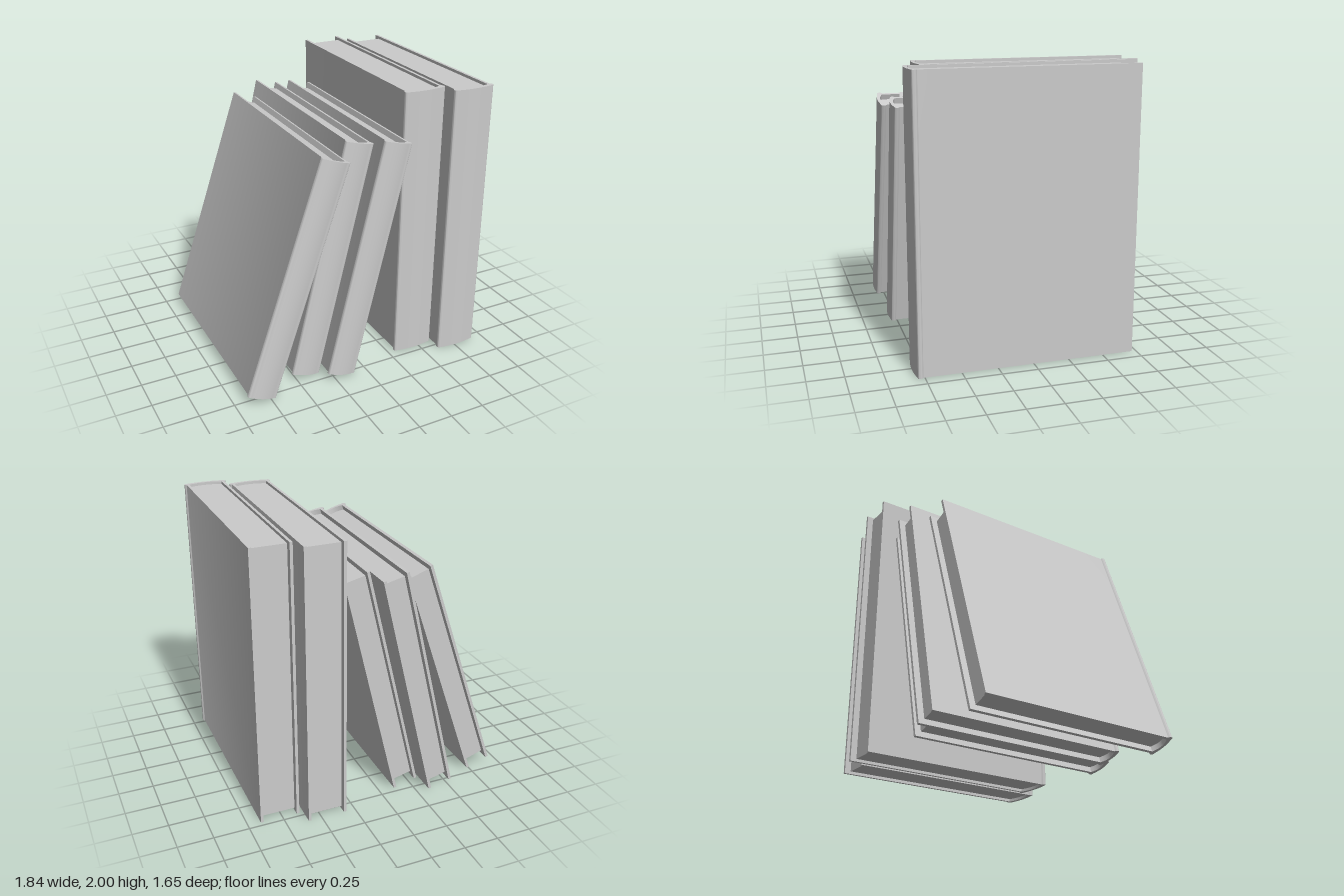
import * as THREE from 'three';
import { toCreasedNormals } from 'three/addons/utils/BufferGeometryUtils.js';

const material = new THREE.MeshStandardMaterial({ color: 0xcccccc, side: THREE.DoubleSide });
const DEPTH = 1.53; // spine to fore edge
const BOARD = 0.02; // cover thickness

// Extrudes a plan outline (x, z) upwards from y = bottom
function extrudeUp(name, shape, bottom, height) {
  let geometry = new THREE.ExtrudeGeometry(shape, { depth: height, bevelEnabled: false, curveSegments: 10 });
  geometry.rotateX(Math.PI / 2);
  geometry.translate(0, bottom + height, 0);
  geometry = toCreasedNormals(geometry, 0.6);
  const mesh = new THREE.Mesh(geometry, material);
  mesh.name = name;
  return mesh;
}

// One book, standing on its bottom edge; spine faces +z and ends at z = 0
function makeBook(name, width, height, recess) {
  const w = width / 2;
  const outer = w - 0.013;
  const inner = outer - BOARD;

  // Cover: two boards, rounded hinge ridges and a bowed spine in one outline
  const cover = new THREE.Shape();
  cover.moveTo(outer, -DEPTH);
  cover.lineTo(outer, -0.055);
  cover.bezierCurveTo(outer, -0.046, w, -0.048, w, -0.033);
  cover.bezierCurveTo(w, -0.018, w - 0.008, -0.012, outer - 0.006, -0.014);
  cover.quadraticCurveTo(0, 0.014, -outer + 0.006, -0.014);
  cover.bezierCurveTo(-w + 0.008, -0.012, -w, -0.018, -w, -0.033);
  cover.bezierCurveTo(-w, -0.048, -outer, -0.046, -outer, -0.055);
  cover.lineTo(-outer, -DEPTH);
  cover.lineTo(-inner, -DEPTH);
  cover.lineTo(-inner, -0.045);
  cover.quadraticCurveTo(0, 0.001, inner, -0.045);
  cover.lineTo(inner, -DEPTH);
  cover.closePath();

  // Page block: fills the cover, set back from its three open edges
  const back = -DEPTH + 0.045;
  const pages = new THREE.Shape();
  pages.moveTo(-inner, back);
  pages.lineTo(inner, back);
  pages.lineTo(inner, -0.045);
  pages.quadraticCurveTo(0, 0.001, -inner, -0.045);
  pages.closePath();

  const book = new THREE.Group();
  book.name = name;
  book.add(
    extrudeUp('cover', cover, 0, height),
    extrudeUp('pages', pages, recess, height - 2 * recess)
  );
  return book;
}

export function createModel() {
  const group = new THREE.Group();
  group.name = 'rowOfBooks';

  // x, y of the bottom centre, z of the spine, lean in degrees
  const books = [
    { name: 'leaningBookOuter', x: -0.818, y: 0.04, z: 0.825, lean: 18.7, width: 0.215, height: 1.722, recess: 0.04 },
    { name: 'leaningBookMiddle', x: -0.428, y: 0.03, z: 0.7, lean: 13.4, width: 0.212, height: 1.727, recess: 0.04 },
    { name: 'leaningBookInner', x: -0.2, y: 0.03, z: 0.81, lean: 13.4, width: 0.212, height: 1.727, recess: 0.04 },
    { name: 'uprightBookInner', x: 0.456, y: 0, z: 0.7, lean: 0, width: 0.308, height: 2, recess: 0.02 },
    { name: 'uprightBookOuter', x: 0.767, y: 0, z: 0.81, lean: 0, width: 0.308, height: 2, recess: 0.02 },
  ];
  for (const b of books) {
    const book = makeBook(b.name, b.width, b.height, b.recess);
    book.position.set(b.x, b.y, b.z);
    book.rotation.z = -THREE.MathUtils.degToRad(b.lean);
    group.add(book);
  }
  return group;
}
